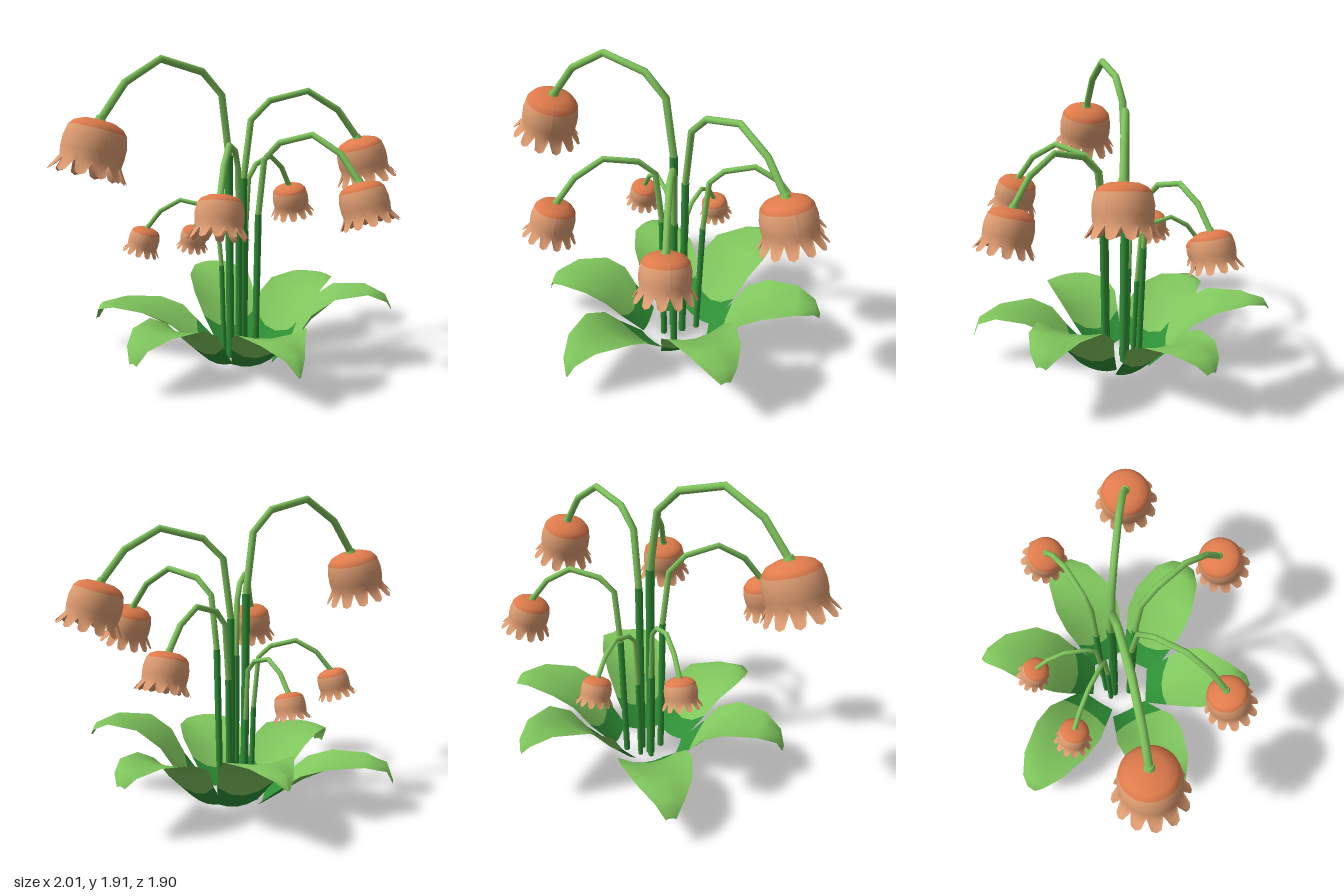
import * as THREE from 'three';

const mat = (name, color) => {
  const m = new THREE.MeshStandardMaterial({ color, side: THREE.DoubleSide });
  m.name = name;
  return m;
};

// Straight-sided path whose samples fall exactly on its corner points
class BentPath extends THREE.Curve {
  constructor(points) {
    super();
    this.points = points;
  }
  getPoint(t, target = new THREE.Vector3()) {
    const n = this.points.length - 1;
    const i = Math.min(Math.floor(t * n + 1e-9), n - 1);
    return target.lerpVectors(this.points[i], this.points[i + 1], t * n - i);
  }
  getPointAt(u, target) { return this.getPoint(u, target); }
  getTangentAt(u, target) { return this.getTangent(u, target); }
}

// Skin over rows of points; rows before `split` use the first material
function skin(rows, split) {
  const cols = rows[0].length;
  const index = [];
  for (let r = 0; r < rows.length - 1; r++) {
    for (let c = 0; c < cols - 1; c++) {
      const a = r * cols + c, b = a + cols;
      index.push(a, a + 1, b, a + 1, b + 1, b);
    }
  }
  const g = new THREE.BufferGeometry().setFromPoints(rows.flat());
  g.setIndex(index);
  g.computeVertexNormals();
  const cut = split * (cols - 1) * 6;
  g.addGroup(0, cut, 0);
  g.addGroup(cut, index.length - cut, 1);
  return g;
}

// Bell: [distance down the axis, radius], ending in a flared toothed rim
function bellGeometry() {
  const profile = [[0, 0.005], [0.008, 0.09], [0.03, 0.14], [0.062, 0.166],
    [0.13, 0.18], [0.19, 0.18], [0.238, 0.173]];
  const teeth = 12, cols = teeth * 4;
  const flare = [0.12, 0.9, 1.05, 0.9];
  const ring = (fn) => Array.from({ length: cols + 1 }, (_, i) => {
    const a = (i / cols) * Math.PI * 2;
    const [d, r] = fn(i % 4);
    return new THREE.Vector3(Math.cos(a) * r, -d, Math.sin(a) * r);
  });
  const rows = profile.map((p) => ring(() => p));
  rows.push(ring((k) => [0.238 + 0.052 * flare[k], 0.173 + 0.018 * flare[k]]));
  rows.push(ring((k) => [0.238 + 0.085 * flare[k], 0.173 + 0.05 * flare[k]]));
  return skin(rows, 3);
}

// Leaf: runs from base to tip [x, z], with a height for each row
function leafGeometry(base, tip, heights, pointed) {
  const along = [0, 0.15, 0.33, 0.52, 0.79, 0.95, 1];
  const half = [0.13, 0.18, 0.215, 0.215, ...(pointed ? [0.13, 0.055, 0.004] : [0.16, 0.085, 0.03])];
  const lean = pointed ? [0, 0, 0, 0.015, 0.03, 0.012, 0] : [0, 0, 0, 0, 0, 0, 0];
  const cup = [0.03, 0.085, 0.07, 0.04, -0.02, -0.03, -0.01];
  const dx = tip[0] - base[0], dz = tip[1] - base[1];
  const len = Math.hypot(dx, dz);
  const rows = along.map((t, i) => [-1, -0.5, 0, 0.5, 1].map((v) => {
    const push = i === 1 ? 0.04 * v * v : 0;
    const s = t + push / len, w = (v * half[i] + lean[i]) / len;
    return new THREE.Vector3(
      base[0] + dx * s - dz * w,
      heights[i] + cup[i] * v * v,
      base[1] + dz * s + dx * w);
  }));
  return skin(rows, 1);
}

export function createModel() {
  const model = new THREE.Group();
  model.name = 'bellFlowerPlant';
  const lightGreen = mat('lightGreen', 0x7fc55c);
  const darkGreen = mat('darkGreen', 0x2e8f35);
  const capOrange = mat('capOrange', 0xe07c4c);
  const petalPeach = mat('petalPeach', 0xdd9b70);

  const add = (parent, name, geometry, material) => {
    const mesh = new THREE.Mesh(geometry, material);
    mesh.name = name;
    parent.add(mesh);
    return mesh;
  };

  // Leaves around the foot: name, base, tip, row heights, pointed tip
  const low = [0.01, 0.1, 0.22, 0.31, 0.36, 0.31, 0.2];
  const leaves = [
    ['leftLeaf', [0.22, -0.02], [0.945, -0.16], [0.01, 0.13, 0.3, 0.43, 0.51, 0.46, 0.38], false],
    ['rightLeaf', [-0.19, -0.08], [-0.995, -0.01], [0.01, 0.09, 0.19, 0.27, 0.34, 0.31, 0.2], false],
    ['frontRightLeaf', [-0.1, 0.14], [-0.39, 0.785], low, false],
    ['frontLeftLeaf', [0.12, 0.13], [0.55, 0.735], low, true],
    ['backLeftLeaf', [0.13, -0.22], [0.39, -0.91], [0.01, 0.11, 0.26, 0.36, 0.44, 0.41, 0.33], false],
    ['backRightLeaf', [-0.07, -0.21], [-0.53, -0.84], [0.01, 0.12, 0.28, 0.4, 0.48, 0.45, 0.38], true],
  ];
  for (const [name, base, tip, heights, pointed] of leaves) {
    add(model, name, leafGeometry(base, tip, heights, pointed), [darkGreen, lightGreen]);
  }

  // Flowers: base [x, z], tip [x, z], peak height, tip height, scale
  const flowers = [
    ['frontRightFlower', [-0.07, -0.03], [-0.61, 0.66], 1.895, 1.55, 1],
    ['backLeftFlower', [0.01, -0.09], [0.67, -0.51], 1.715, 1.41, 0.9],
    ['leftFlower', [0.13, 0], [0.77, 0.155], 1.455, 1.19, 0.8],
    ['frontFlower', [0.02, 0.06], [0.1, 0.7], 1.405, 1.16, 0.74],
    ['backFlower', [-0.01, -0.21], [0.16, -0.75], 1.28, 1.06, 0.7],
    ['smallBackRightFlower', [-0.09, -0.11], [-0.415, -0.37], 0.955, 0.79, 0.5],
    ['smallRightFlower', [-0.12, -0.03], [-0.58, 0.085], 1.03, 0.85, 0.54],
  ];
  const bend = [[0.06, 0.6], [0.22, 0.2], [0.55, 0], [0.82, 0.4], [1, 1]];
  const bell = bellGeometry();
  const tilt = 0.28;
  for (const [name, base, tip, peak, tipY, size] of flowers) {
    const flower = new THREE.Group();
    flower.name = name;
    model.add(flower);
    const at = (f, y) => new THREE.Vector3(
      base[0] + (tip[0] - base[0]) * f, y, base[1] + (tip[1] - base[1]) * f);
    const joint = peak * 0.82 - 0.24, r = 0.006 + 0.02 * size;

    // Dark straight stem leaning in at the foot, then the light arch
    const foot = new THREE.Vector3(base[0] * 0.85, 0.005, base[1] * 0.85);
    add(flower, 'lowerStem',
      new THREE.TubeGeometry(new BentPath([foot, at(0, joint)]), 1, r, 8), darkGreen);
    const arch = [at(0, joint), ...bend.map(([f, drop]) => at(f, peak - drop * (peak - tipY)))];
    add(flower, 'upperStem',
      new THREE.TubeGeometry(new BentPath(arch), arch.length - 1, r * 0.9, 8), lightGreen);

    // Hanging bell with a small collar, tilted outward
    const head = new THREE.Group();
    head.name = 'flowerHead';
    head.position.set(tip[0], tipY, tip[1]);
    const out = new THREE.Vector3(tip[0] - base[0], 0, tip[1] - base[1]).normalize();
    const axis = new THREE.Vector3(0, -Math.cos(tilt), 0).addScaledVector(out, Math.sin(tilt));
    head.quaternion.setFromUnitVectors(new THREE.Vector3(0, -1, 0), axis);
    head.scale.setScalar(size);
    flower.add(head);
    add(head, 'bell', bell, [capOrange, petalPeach]);
    add(head, 'collar', new THREE.CylinderGeometry(0.025, 0.034, 0.03, 8), lightGreen)
      .position.y = 0.008;
  }
  return model;
}
